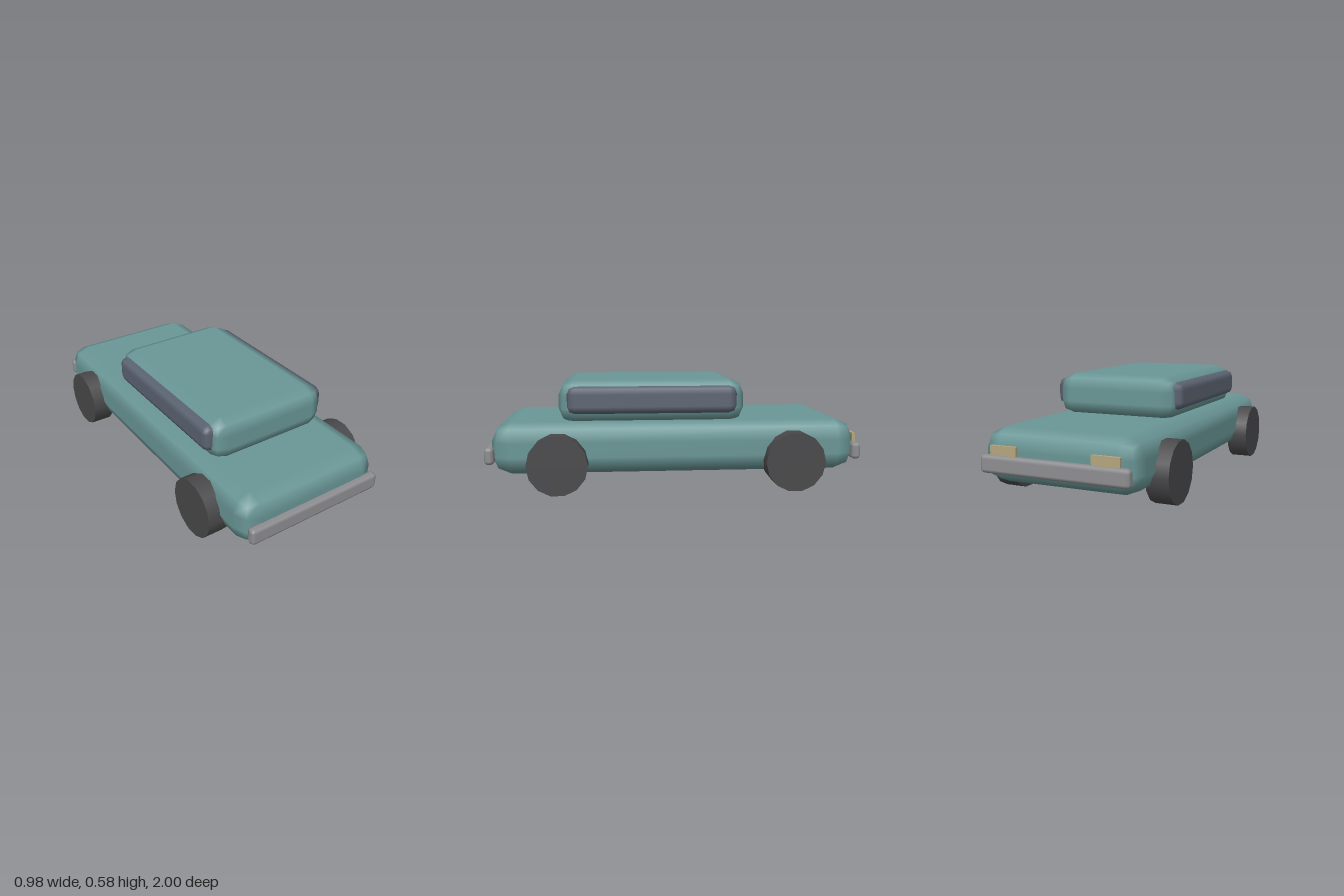
import * as THREE from 'three';
import { RoundedBoxGeometry } from 'three/addons/geometries/RoundedBoxGeometry.js';

export function createModel() {
  const car = new THREE.Group();
  car.name = 'car';

  const material = (color) => new THREE.MeshStandardMaterial({ color });
  const paint = material(0x6a9696);
  const glass = material(0x5c6472);
  const rubber = material(0x49494b);
  const chrome = material(0x8e8e92);
  const lamp = material(0xb5a67e);

  const add = (name, geometry, mat, x, y, z) => {
    const mesh = new THREE.Mesh(geometry, mat);
    mesh.name = name;
    mesh.position.set(x, y, z);
    car.add(mesh);
    return mesh;
  };
  // box with a two-facet rounded edge
  const soft = (w, h, d, r) => new RoundedBoxGeometry(w, h, d, 1, r);

  // body and cabin
  add('body', soft(0.84, 0.275, 1.935, 0.1), paint, 0, 0.2225, 0);
  add('cabin', soft(0.69, 0.23, 0.995, 0.08), paint, 0, 0.46, 0.1225);

  // bumpers at both ends
  const bumper = soft(0.795, 0.09, 0.05, 0.02);
  add('frontBumper', bumper, chrome, 0, 0.19, 0.975);
  add('rearBumper', bumper, chrome, 0, 0.19, -0.975);

  // mirrored side parts
  const windowGeo = soft(0.084, 0.145, 0.9, 0.04);
  const lightGeo = new THREE.BoxGeometry(0.145, 0.075, 0.016);
  const wheelGeo = new THREE.CylinderGeometry(0.158, 0.158, 0.118, 14).rotateZ(Math.PI / 2);
  for (const [side, s] of [['left', 1], ['right', -1]]) {
    add(side + 'Window', windowGeo, glass, s * 0.33, 0.472, 0.1225);
    add(side + 'TailLight', lightGeo, lamp, s * 0.272, 0.245, -0.973);
    add(side + 'FrontWheel', wheelGeo, rubber, s * 0.429, 0.154, 0.62);
    add(side + 'RearWheel', wheelGeo, rubber, s * 0.429, 0.154, -0.62);
  }

  return car;
}
